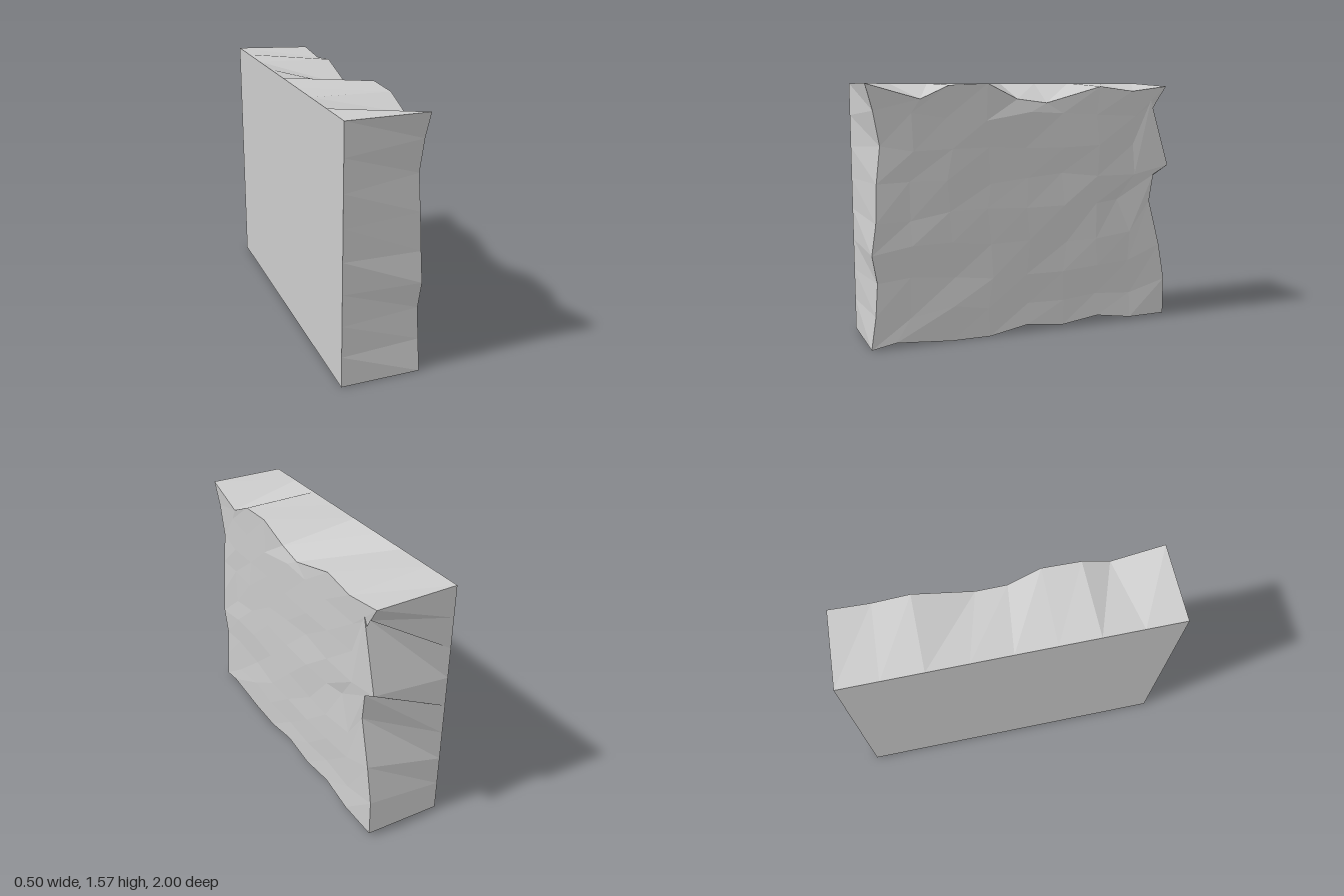
import * as THREE from 'three';

const N = 8, H = 1.57, D = 0.25;

// Jagged rim of the rough face as [x, y, z], each edge in order along the slab
const bottom = [[.24, 0, 1], [.245, .03, .85], [.24, 0, .5], [.24, 0, .25], [.24, .047, 0],
  [.24, .02, -.25], [.24, .055, -.5], [.245, .02, -.74], [.24, .02, -1]];
const top = [[.24, H, 1], [.245, 1.48, .68], [.24, 1.56, .5], [.24, H, .26], [.22, 1.475, .06],
  [.23, 1.45, -.13], [.24, 1.55, -.5], [.245, 1.52, -.73], [.24, 1.55, -.98]];
const front = [bottom[0], [.24, .2, .97], [.235, .4, .955], [.24, .57, .985], [.24, .756, .957],
  [.23, .99, .946], [.225, 1.21, .92], [.23, 1.415, .957], top[0]];
const rear = [bottom[N], [.24, .26, -1], [.24, .5, -.955], [.235, .8, -.875], [.24, .975, -.9],
  [.25, 1.035, -1], [.24, 1.46, -.87], [.235, 1.46, -.92], top[N]];

// Small repeatable unevenness in -1..1
const noise = (i, j, k) => {
  const s = Math.sin(i * 12.99 + j * 78.23 + k * 37.72) * 43758.55;
  return (s - Math.floor(s)) * 2 - 1;
};

// Point of the rough face: i runs front to rear, j runs upward
function rough(i, j) {
  if (j === 0) return bottom[i];
  if (j === N) return top[i];
  if (i === 0) return front[j];
  if (i === N) return rear[j];
  if (i === 7 && j === 4) return [.222, .82, -.64]; // notch beneath the rear lip
  if (i === 7 && j === 5) return [.238, .98, -.76];
  return [.237 + .006 * noise(i, j, 1), j * H / N + .03 * noise(i, j, 2), 1 - i * 2 / N + .03 * noise(i, j, 3)];
}

// Matching regular point on the flat side
const flat = (i, j) => [-D, j * H / N, 1 - i * 2 / N];

function makeMesh(name, quads) {
  const positions = quads.flatMap(([a, b, c, d]) => [a, b, c, a, c, d].flat());
  const geometry = new THREE.BufferGeometry();
  geometry.setAttribute('position', new THREE.Float32BufferAttribute(positions, 3));
  geometry.computeVertexNormals();
  const mesh = new THREE.Mesh(geometry, new THREE.MeshStandardMaterial({ color: 0xcccccc, flatShading: true }));
  mesh.name = name;
  return mesh;
}

export function createModel() {
  const group = new THREE.Group();
  group.name = 'brokenSlab';

  // Rough broken face
  const faceQuads = [];
  for (let i = 0; i < N; i++) {
    for (let j = 0; j < N; j++) {
      faceQuads.push([rough(i, j), rough(i + 1, j), rough(i + 1, j + 1), rough(i, j + 1)]);
    }
  }
  group.add(makeMesh('roughFace', faceQuads));

  // Faceted edge walls joining the rough rim to the flat side
  const loop = [];
  for (let k = 0; k < N; k++) loop.push([k, 0]);
  for (let k = 0; k < N; k++) loop.push([N, k]);
  for (let k = N; k > 0; k--) loop.push([k, N]);
  for (let k = N; k > 0; k--) loop.push([0, k]);
  group.add(makeMesh('edgeWalls', loop.map((p, n) => {
    const q = loop[(n + 1) % loop.length];
    return [flat(...p), flat(...q), rough(...q), rough(...p)];
  })));

  // Smooth flat side
  group.add(makeMesh('flatSide', [[flat(0, 0), flat(0, N), flat(N, N), flat(N, 0)]]));
  return group;
}
